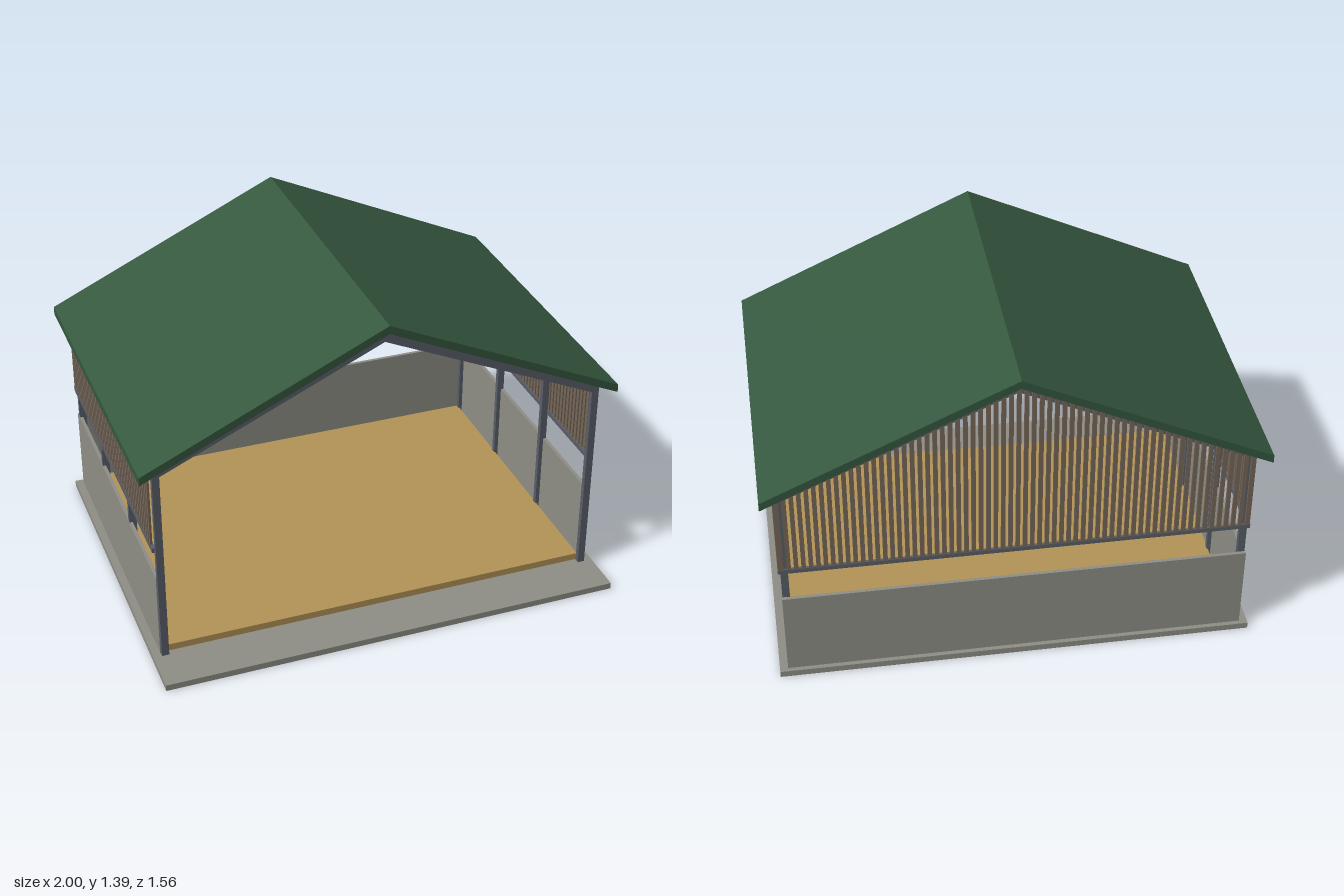
import * as THREE from 'three';

const material = (name, color) => {
  const m = new THREE.MeshStandardMaterial({ color });
  m.name = name;
  return m;
};

export function createModel() {
  const model = new THREE.Group();
  model.name = 'openShelter';
  const roofGreen = material('roofGreen', 0x35583f);
  const concrete = material('concreteGrey', 0x8f8f87);
  const steel = material('steelGrey', 0x5a5f69);
  const timber = material('timberBrown', 0x77685a);
  const sand = material('sandYellow', 0xb39457);

  // Box given by its lower and upper limits on each axis
  const box = (name, mat, [x0, x1], [y0, y1], [z0, z1], parent = model) => {
    const mesh = new THREE.Mesh(new THREE.BoxGeometry(x1 - x0, y1 - y0, z1 - z0), mat);
    mesh.position.set((x0 + x1) / 2, (y0 + y1) / 2, (z0 + z1) / 2);
    mesh.name = name;
    parent.add(mesh);
    return mesh;
  };
  const mirrored = (s, a, b) => (s > 0 ? [a, b] : [-b, -a]);

  // Chevron-shaped band that follows the roof pitch, extruded along z
  const gableBand = (name, mat, half, apex, eave, thick, z0, z1) => {
    const shape = new THREE.Shape([
      [-half, eave - thick], [0, apex - thick], [half, eave - thick],
      [half, eave], [0, apex], [-half, eave],
    ].map(([x, y]) => new THREE.Vector2(x, y)));
    const geometry = new THREE.ExtrudeGeometry(shape, { depth: z1 - z0, bevelEnabled: false });
    const mesh = new THREE.Mesh(geometry, mat);
    mesh.position.z = z0;
    mesh.name = name;
    model.add(mesh);
  };

  // Ground slab and bedding
  box('groundSlab', concrete, [-0.975, 0.975], [0, 0.027], [-0.755, 0.78]);
  box('sandFloor', sand, [-0.915, 0.915], [0.027, 0.057], [-0.722, 0.573]);

  // Low walls on three sides
  box('backWall', concrete, [-0.942, 0.942], [0.027, 0.397], [-0.736, -0.721]);
  for (const s of [-1, 1]) {
    box('sideWall', concrete, mirrored(s, 0.927, 0.942), [0.027, 0.397], [-0.721, 0.576]);
  }

  // Portal frames: two posts and a pitched rafter each
  for (const z of [0.587, 0.158, -0.289, -0.709]) {
    for (const s of [-1, 1]) {
      box('post', steel, mirrored(s, 0.91, 0.94), [0.02, 0.9], [z - 0.011, z + 0.011]);
    }
    gableBand('rafter', steel, 0.94, 1.335, 0.91, 0.042, z - 0.011, z + 0.011);
  }

  // Rails below the cladding
  box('backRail', steel, [-0.95, 0.95], [0.524, 0.544], [-0.728, -0.716]);
  for (const s of [-1, 1]) {
    box('sideRail', steel, mirrored(s, 0.936, 0.95), [0.524, 0.544], [-0.725, 0.577]);
  }

  // Spaced vertical boards, cut to the roof pitch at the back
  const cladding = new THREE.Group();
  cladding.name = 'boardCladding';
  model.add(cladding);
  const width = 0.0175, backCount = 65, sideCount = 45;
  for (let i = 0; i < backCount; i++) {
    const x = -0.935 + (1.87 * i) / (backCount - 1);
    const top = 1.334 - 0.452 * Math.abs(x);
    box('backBoard', timber, [x - width / 2, x + width / 2], [0.543, top], [-0.732, -0.722], cladding);
  }
  for (const s of [-1, 1]) {
    for (let i = 0; i < sideCount; i++) {
      const z = 0.54 - (1.255 * i) / (sideCount - 1);
      box('sideBoard', timber, mirrored(s, 0.94, 0.949), [0.543, 0.91], [z - width / 2, z + width / 2], cladding);
    }
  }

  // Pitched roof
  gableBand('roof', roofGreen, 1, 1.387, 0.926, 0.035, -0.78, 0.645);

  return model;
}
